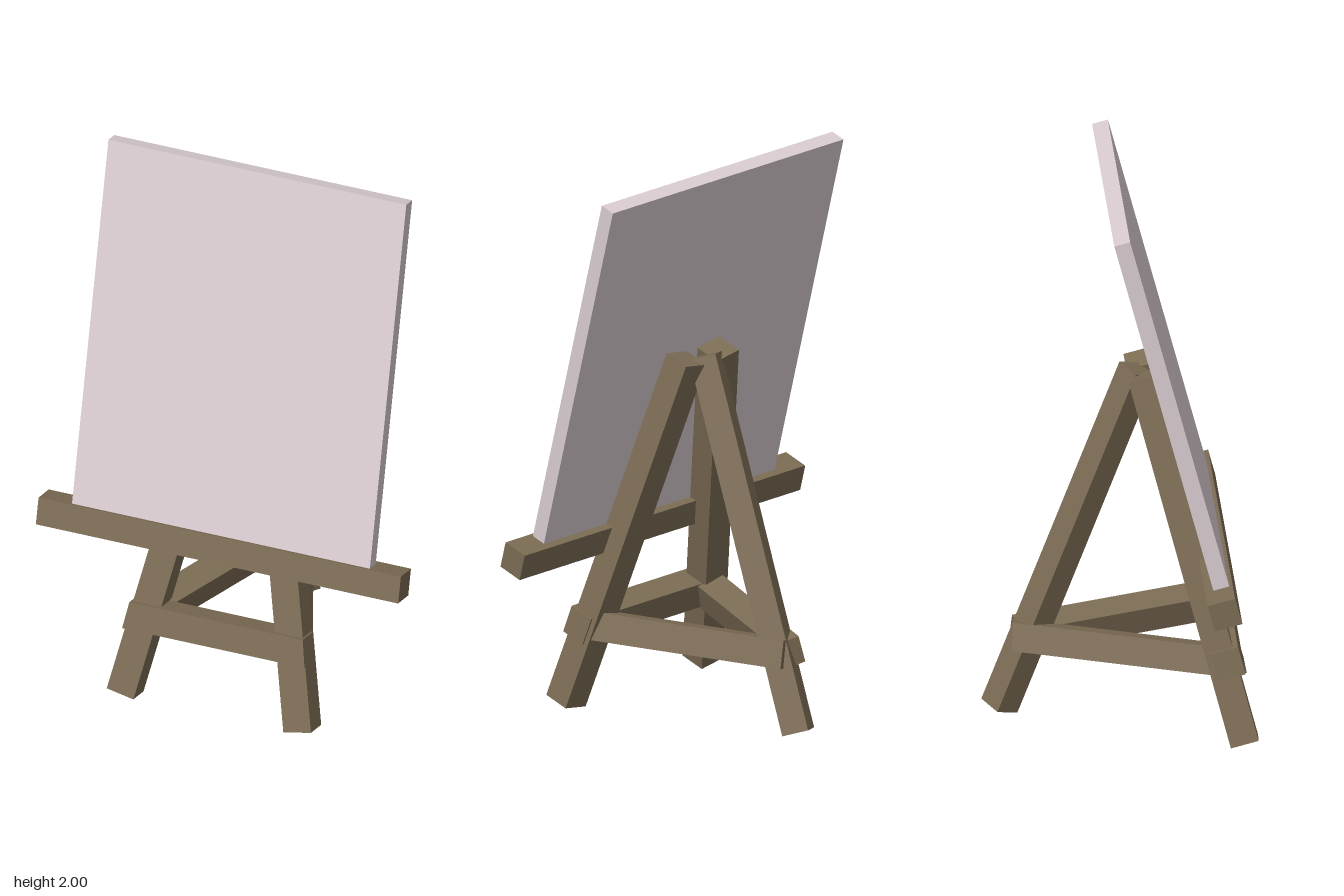
import * as THREE from 'three';

const wood = new THREE.MeshStandardMaterial({ color: 0x7c6c54 });
wood.name = 'wood';
const canvasWhite = new THREE.MeshStandardMaterial({ color: 0xdacdd1 });
canvasWhite.name = 'canvasWhite';

const TILT = 0.2585; // backward lean of the front frame

function box(name, w, h, d, x, y, z, material = wood) {
  const mesh = new THREE.Mesh(new THREE.BoxGeometry(w, h, d), material);
  mesh.name = name;
  mesh.position.set(x, y, z);
  return mesh;
}

// Square beam between two centre points, twisted about its own length
function beam(name, from, to, width, depth, twist = 0) {
  const dir = to.clone().sub(from);
  const mesh = box(name, width, dir.length(), depth, 0, 0, 0);
  mesh.position.copy(from).add(to).multiplyScalar(0.5);
  mesh.quaternion.setFromUnitVectors(new THREE.Vector3(0, 1, 0), dir.normalize());
  mesh.rotateY(twist);
  return mesh;
}

export function createModel() {
  const model = new THREE.Group();
  model.name = 'easel';

  // Leaning frame: its local z = 0 plane is the back of the canvas
  const frame = new THREE.Group();
  frame.name = 'frontFrame';
  frame.position.z = 0.478;
  frame.rotation.x = -TILT;
  model.add(frame);

  frame.add(box('canvas', 1.11, 1.347, 0.057, 0, 1.3795, 0.0285, canvasWhite));
  frame.add(box('tray', 1.35, 0.099, 0.099, 0, 0.6565, 0.02));

  // Splayed front legs
  for (const [side, name] of [[1, 'leftFrontLeg'], [-1, 'rightFrontLeg']]) {
    frame.add(beam(name,
      new THREE.Vector3(side * 0.33, 0.033, -0.05),
      new THREE.Vector3(side * 0.077, 1.357, -0.05), 0.103, 0.1));
  }

  // Front brace, ends cut parallel to the legs
  const brace = box('frontBrace', 0.665, 0.1, 0.1, 0, 0.33, -0.031);
  const p = brace.geometry.attributes.position;
  for (let i = 0; i < p.count; i++) {
    p.setX(i, Math.sign(p.getX(i)) * (p.getY(i) > 0 ? 0.323 : 0.34));
  }
  brace.geometry.computeVertexNormals();
  frame.add(brace);

  // Rear leg, set cornerwise
  model.add(beam('rearLeg',
    new THREE.Vector3(0.01, 0.037, -0.407),
    new THREE.Vector3(-0.005, 1.295, 0.072), 0.095, 0.095, THREE.MathUtils.degToRad(35)));

  // Side braces from the front legs to the rear leg, rolled inward at the top
  for (const [side, name] of [[1, 'leftBrace'], [-1, 'rightBrace']]) {
    const mesh = box(name, 0.1, 0.1, 0.73, side * 0.136, 0.305, -0.008);
    mesh.rotation.order = 'YXZ';
    mesh.rotation.set(0, side * 0.373, side * TILT);
    model.add(mesh);
  }

  return model;
}
